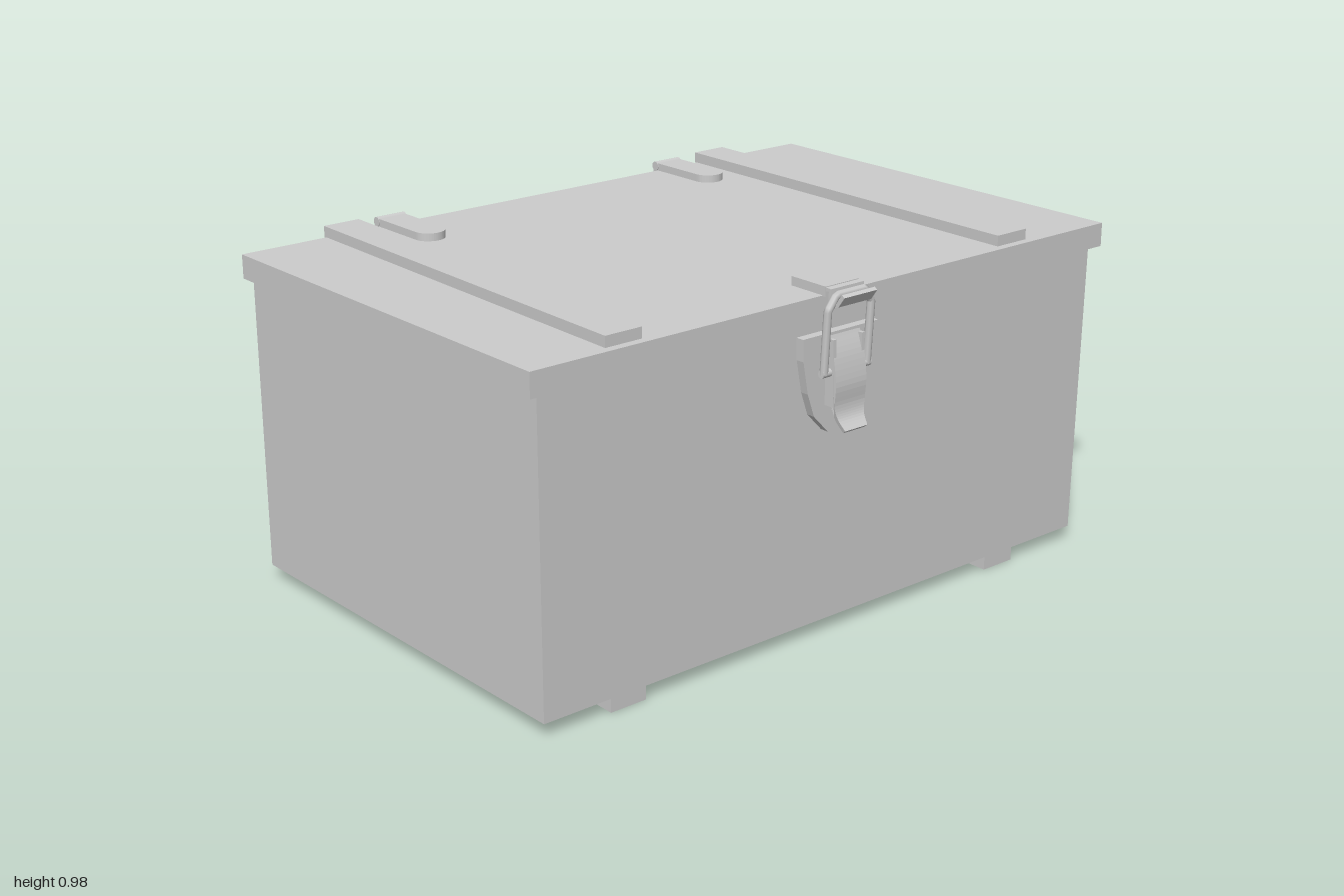
import * as THREE from 'three';

const material = new THREE.MeshStandardMaterial({ color: 0xcccccc, flatShading: true });
const smooth = new THREE.MeshStandardMaterial({ color: 0xcccccc });

export function createModel() {
  const root = new THREE.Group();
  const add = (name, geo, parent = root, mat = material) => {
    const mesh = new THREE.Mesh(geo, mat);
    mesh.name = name;
    parent.add(mesh);
    return mesh;
  };

  // Box given by its limits, with an optional rule that moves the corners
  const block = (x0, x1, y0, y1, z0, z1, rule) => {
    const g = new THREE.BoxGeometry(x1 - x0, y1 - y0, z1 - z0);
    g.translate((x0 + x1) / 2, (y0 + y1) / 2, (z0 + z1) / 2);
    const p = g.attributes.position;
    if (rule) {
      for (let i = 0; i < p.count; i++) p.setX(i, rule(p.getX(i), p.getY(i), p.getZ(i)));
      g.computeVertexNormals();
    }
    return g;
  };

  // Bent sheet-metal strip: a [z, y] centre line thickened and extruded along x
  const strip = (pts, thick, width, curved) => {
    let line = pts.map(([z, y]) => new THREE.Vector2(z, y));
    if (curved) line = new THREE.SplineCurve(line).getPoints(24);
    const side = (s) => line.map((p, i) => {
      const a = line[Math.max(i - 1, 0)], b = line[Math.min(i + 1, line.length - 1)];
      const t = b.clone().sub(a).normalize();
      return new THREE.Vector2(p.x - t.y * s, p.y + t.x * s);
    });
    const shape = new THREE.Shape([...side(thick / 2), ...side(-thick / 2).reverse()]);
    const g = new THREE.ExtrudeGeometry(shape, { depth: width, bevelEnabled: false });
    return g.translate(0, 0, -width / 2).rotateY(-Math.PI / 2);
  };

  // Case body, its right-hand wall leaning in slightly, and lid
  add('body', block(-0.97, 0.965, 0.04, 0.885, -0.665, 0.6,
    (x, y) => (x > 0 && y < 0.5 ? 0.948 : x)));
  add('lid', block(-1, 1, 0.883, 0.95, -0.665, 0.616));

  // Slightly crooked battens on the lid and under the case
  for (const [side, front, back] of [['right', -0.705, -0.68], ['left', 0.65, 0.66]]) {
    const skew = (x, y, z) => x + (z > 0 ? front : back);
    add(side + 'LidBatten', block(-0.056, 0.056, 0.948, 0.98, -0.676, 0.592, skew));
    add(side + 'BottomBatten', block(-0.056, 0.056, 0, 0.042, -0.674, 0.597, skew));
  }

  // Hinges: round-ended leaves on the lid and back joined by a rounded knuckle
  const leaf = (length, thick) => {
    const r = 0.044, s = new THREE.Shape();
    s.moveTo(-r, 0);
    s.lineTo(r, 0);
    s.lineTo(r, length - r);
    s.absarc(0, length - r, r, 0, Math.PI, false);
    return new THREE.ExtrudeGeometry(s, { depth: thick, bevelEnabled: false, curveSegments: 10 });
  };
  for (const [side, x] of [['right', -0.52], ['left', 0.49]]) {
    const hinge = new THREE.Group();
    hinge.name = side + 'Hinge';
    hinge.position.x = x;
    root.add(hinge);
    add('lidLeaf', leaf(0.235, 0.024).rotateX(Math.PI / 2).translate(0, 0.972, -0.675), hinge);
    add('backLeaf', leaf(0.235, 0.018).rotateX(Math.PI).translate(0, 0.96, -0.67), hinge);
    add('knuckle', new THREE.CylinderGeometry(0.014, 0.014, 0.092, 12)
      .rotateZ(Math.PI / 2).translate(0, 0.962, -0.676), hinge);
  }

  // Toggle latch
  const latch = new THREE.Group();
  latch.name = 'latch';
  latch.position.x = -0.022;
  root.add(latch);

  // Shield-shaped mounting plate
  const half = [[0.132, 0.85], [0.13, 0.79], [0.113, 0.7], [0.09, 0.635], [0.04, 0.583]];
  const outline = [...half, [0, 0.575], ...half.map(([x, y]) => [-x, y]).reverse()];
  add('latchPlate', new THREE.ExtrudeGeometry(
    new THREE.Shape(outline.map(([x, y]) => new THREE.Vector2(x, y))),
    { depth: 0.026, bevelEnabled: false }).translate(0, 0, 0.599), latch);

  // Curved lever with a flicked-out, narrowing finger tip
  const lever = strip([[0.632, 0.845], [0.65, 0.79], [0.66, 0.72], [0.656, 0.66],
    [0.663, 0.625], [0.684, 0.597]], 0.012, 0.108, true);
  const lp = lever.attributes.position;
  for (let i = 0; i < lp.count; i++) {
    if (lp.getY(i) < 0.66) lp.setX(i, lp.getX(i) * (1 - (0.66 - lp.getY(i)) * 4.5));
  }
  add('latchLever', lever, latch);
  for (const s of [-1, 1]) {
    add('leverCheek', strip([[0.64, 0.84], [0.642, 0.66]], 0.03, 0.01)
      .translate(s * 0.05, 0, 0), latch);
  }
  add('leverPivot', new THREE.CylinderGeometry(0.011, 0.011, 0.17, 10)
    .rotateZ(Math.PI / 2).translate(0, 0.752, 0.642), latch, smooth);

  // Wire loop, narrowing at the top and leaning outward
  const corners = [[0.076, 0.75], [0.076, 0.92], [0.05, 0.958],
    [-0.05, 0.958], [-0.076, 0.92], [-0.076, 0.75]]
    .map(([x, y]) => new THREE.Vector3(x, y, 0.643 + (y - 0.75) * 0.06));
  const path = new THREE.CurvePath();
  for (let i = 0; i < corners.length - 1; i++) {
    path.add(new THREE.LineCurve3(corners[i], corners[i + 1]));
  }
  add('latchLoop', new THREE.TubeGeometry(path, 60, 0.011, 8), latch, smooth);

  // Catch: flat strap on the lid, stepping down into an upturned hook
  add('catchStrap', block(-0.058, 0.058, 0.948, 0.975, 0.5, 0.625), latch);
  add('catchHook', strip([[0.615, 0.968], [0.64, 0.968], [0.64, 0.945], [0.65, 0.928],
    [0.668, 0.935], [0.688, 0.963]], 0.011, 0.115), latch);

  return root;
}
